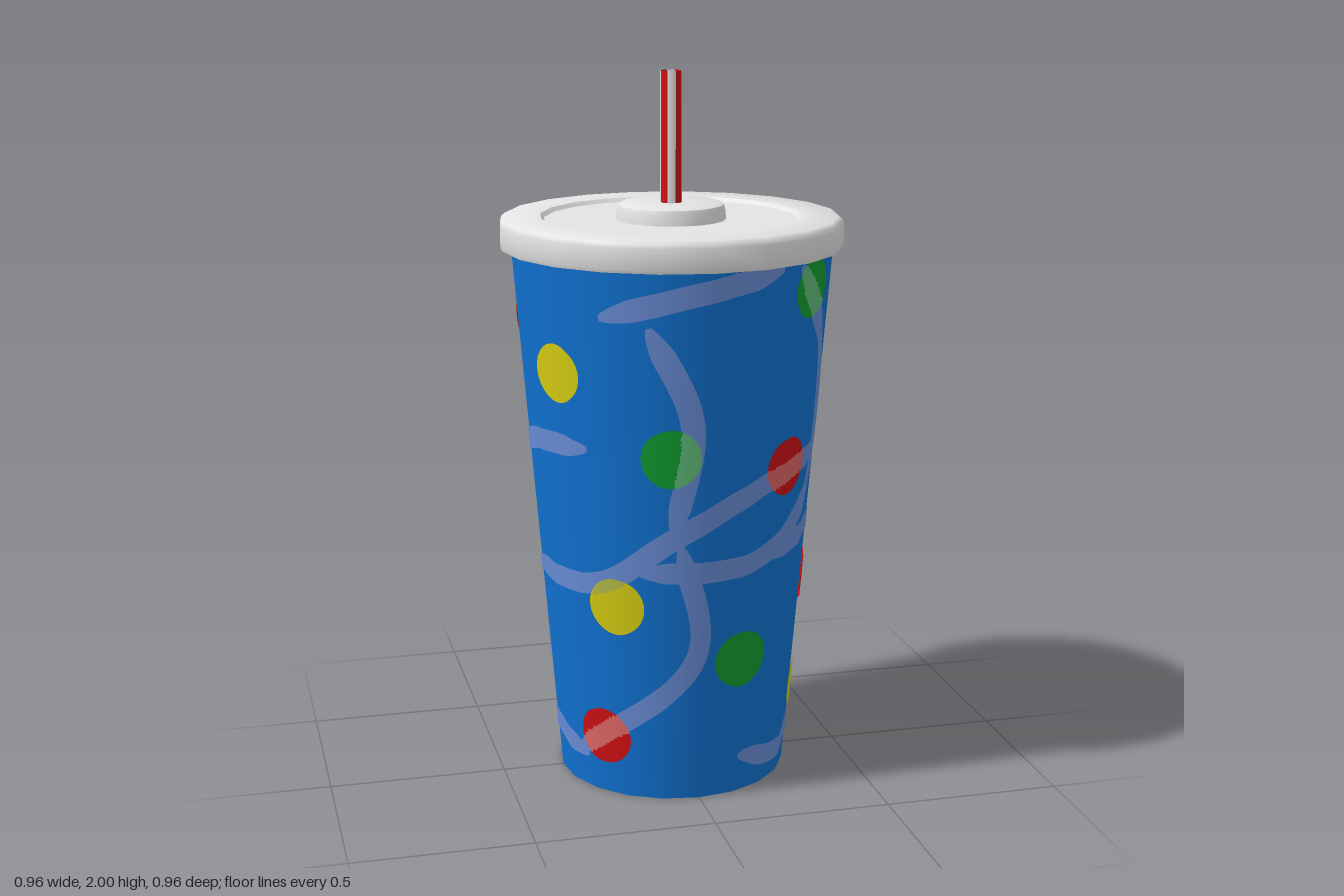
import * as THREE from 'three';
import { toCreasedNormals } from 'three/addons/utils/BufferGeometryUtils.js';

const SIDES = 20, STEP = (Math.PI * 2) / SIDES, R = 0.39, RAD = Math.PI / 180;
const BASE_R = 0.325, SLOPE = 0.0822, CUP_H = 1.53;
const STRIPE_W = 0.031, DOT_R = 0.082;

const mat = (name, color, side = THREE.FrontSide) => {
  const m = new THREE.MeshStandardMaterial({ color, side });
  m.name = name;
  return m;
};

// Brush strokes round the cup: a few pairs of angle in degrees from the front, and height
const STROKES = [
  [-22, 1.37, -6, 1.1, -13, 0.79],
  [66, 0.97, 25, 0.91, -13, 0.78, -45, 0.64, -95, 0.63],
  [37, 1.51, 64, 1.2, 62, 0.9, 30, 0.71, -28, 0.68],
  [-10, 0.76, -3, 0.43, -65, 0.1],
  [-40, 1.39, -10, 1.45, 28, 1.51],
  [20, 0.11, 55, 0.08, 90, 0.23, 114, 0.48, 108, 0.7, 85, 0.745, 30, 0.7],
  [96, 0.4, 125, 0.27, 220, 0.23, 302, 0.1],
  [99, 1.41, 116, 1.12, 102, 0.89],
  [85, 0.99, 112, 0.87, 151, 0.87, 187, 1.12, 184, 1.47],
  [115, 1.08, 145, 1.11, 177, 1.0],
  [98, 0.9, 112, 0.78, 117, 0.62],
  [165, 1.42, 190, 1.47, 225, 1.455],
  [171, 0.86, 209, 0.935, 242, 0.82],
  [161, 0.69, 205, 0.59, 250, 0.78],
  [237, 1.37, 256, 1.03, 240, 0.72],
  [254, 0.95, 280, 1.01, 312, 1.02],
  [165, 0.17, 205, 0.07, 264, 0.31, 255, 0.72],
];

// Dots by colour: angle in degrees, height
const DOTS = {
  green: [[-14, 1.01], [18.7, 0.41], [45, 1.44], [131, 0.86], [257, 0.63]],
  yellow: [[-60.5, 1.22], [-38, 0.575], [83, 1.15], [76, 0.24], [163, 1.25], [198, 0.285]],
  red: [[-47, 0.175], [38, 0.95], [81, 0.56], [240, 1.31], [212, 0.78]],
};

// Radius of the twenty-sided cup wall at an angle and height
function wallRadius(a, y) {
  const local = ((a % STEP) + STEP) % STEP - STEP / 2;
  return (BASE_R + SLOPE * y) * Math.cos(STEP / 2) / Math.cos(local);
}

// Thin painted patch on the wall; at(u, v) gives [angle, height], pick() a material index
function wallPatch(nu, nv, offset, at, pick = () => 0) {
  const pos = [], nor = [], lists = [[], []];
  const n = new THREE.Vector3();
  for (let i = 0; i <= nu; i++) for (let j = 0; j <= nv; j++) {
    const [a, yRaw] = at(i / nu, j / nv);
    const y = THREE.MathUtils.clamp(yRaw, 0, CUP_H);
    const r = wallRadius(a, y) + offset;
    pos.push(r * Math.sin(a), y, r * Math.cos(a));
    n.set(Math.sin(a), -SLOPE, Math.cos(a)).normalize();
    nor.push(n.x, n.y, n.z);
  }
  for (let i = 0; i < nu; i++) for (let j = 0; j < nv; j++) {
    const p = i * (nv + 1) + j, q = p + nv + 1;
    const k = pick(...at((i + 0.5) / nu, (j + 0.5) / nv));
    lists[k].push(p, q, q + 1, p, q + 1, p + 1);
  }
  const g = new THREE.BufferGeometry();
  g.setAttribute('position', new THREE.Float32BufferAttribute(pos, 3));
  g.setAttribute('normal', new THREE.Float32BufferAttribute(nor, 3));
  g.setIndex([...lists[0], ...lists[1]]);
  g.addGroup(0, lists[0].length, 0);
  g.addGroup(lists[0].length, lists[1].length, 1);
  return g;
}

// Sampled centre line of a stroke, with tapering ends
function strokePath(stroke) {
  const points = [];
  for (let i = 0; i < stroke.length; i += 2) points.push(new THREE.Vector3(stroke[i] * RAD * R, stroke[i + 1], 0));
  const curve = new THREE.CatmullRomCurve3(points);
  const count = Math.ceil(curve.getLength() / 0.015);
  return Array.from({ length: count + 1 }, (_, i) => {
    const p = curve.getPointAt(i / count), d = curve.getTangentAt(i / count);
    const end = Math.min(i, count - i) * 0.015;
    return { s: p.x, y: p.y, tx: d.x, ty: d.y, w: STRIPE_W * Math.sqrt(Math.min(1, 0.06 + end / 0.09)) };
  });
}

export function createModel() {
  const blue = mat('cup blue', 0x1072d2, THREE.DoubleSide);
  const pale = mat('stripe blue', 0x6a8ed8);
  const white = mat('lid white', 0xe4e4e4, THREE.DoubleSide);
  const red = mat('red', 0xd01014, THREE.DoubleSide);
  const paint = {
    red: [red, mat('striped red', 0xe06864)],
    green: [mat('green', 0x10a030), mat('striped green', 0x62c07c)],
    yellow: [mat('yellow', 0xd8ce12), mat('striped yellow', 0xb8bc48)],
  };
  const model = new THREE.Group();
  model.name = 'drinkCup';
  const add = (name, geometry, material, parent = model) => {
    const m = new THREE.Mesh(geometry, material);
    m.name = name;
    parent.add(m);
    return m;
  };
  const group = (name) => {
    const g = new THREE.Group();
    g.name = name;
    model.add(g);
    return g;
  };

  // Cup wall and base
  add('cupWall', new THREE.CylinderGeometry(BASE_R + SLOPE * CUP_H, BASE_R, CUP_H, SIDES, 1, true), blue).position.y = CUP_H / 2;
  add('cupBase', new THREE.CircleGeometry(BASE_R, SIDES, Math.PI / 2), blue).rotation.x = Math.PI / 2;

  // Painted stripes
  const stripes = group('stripes');
  const paths = STROKES.map(strokePath);
  for (const path of paths) {
    const last = path.length - 1;
    // The middle of a cell is never asked for a colour here, so each u is a whole sample
    add('stripe', wallPatch(last, 4, 0.003, (u, v) => {
      const p = path[Math.round(u * last)], k = (v * 2 - 1) * p.w;
      return [(p.s - p.ty * k) / R, p.y + p.tx * k];
    }), pale, stripes);
  }

  // Painted dots, tinted where a stripe crosses them
  const samples = paths.flat();
  const underStripe = (a, y) => Number(samples.some((p) => {
    const da = p.s / R - a;
    return Math.hypot(Math.atan2(Math.sin(da), Math.cos(da)) * R, p.y - y) < p.w;
  }));
  const dots = group('dots');
  for (const [colour, list] of Object.entries(DOTS)) for (const [deg, y0] of list) {
    const r0 = BASE_R + SLOPE * y0;
    add(colour + 'Dot', wallPatch(14, 48, 0.006, (u, v) => {
      const k = u * DOT_R, t = v * Math.PI * 2;
      return [deg * RAD + (k * Math.cos(t)) / r0, y0 + k * Math.sin(t)];
    }, underStripe), paint[colour], dots);
  }

  // Lid with rim, shallow recess and raised centre, open for the straw
  const profile = [
    [0.445, 1.525], [0.476, 1.52], [0.48, 1.53], [0.479, 1.585], [0.475, 1.597], [0.465, 1.605],
    [0.365, 1.605], [0.355, 1.594], [0.153, 1.594], [0.15, 1.625], [0.146, 1.635], [0.135, 1.64], [0.029, 1.64],
  ].map(([x, y]) => new THREE.Vector2(x, y));
  add('lid', toCreasedNormals(new THREE.LatheGeometry(profile, SIDES), 0.7), white);

  // Hollow straw made of alternating strips
  const straw = group('straw');
  const strips = 8, arc = (Math.PI * 2) / strips;
  for (let i = 0; i < strips; i++) {
    const g = new THREE.CylinderGeometry(0.03, 0.03, 0.5, 2, 1, true, (i + 0.25) * arc, arc);
    add('strawStrip', g, i % 2 ? white : red, straw).position.y = 1.75;
  }
  return model;
}
